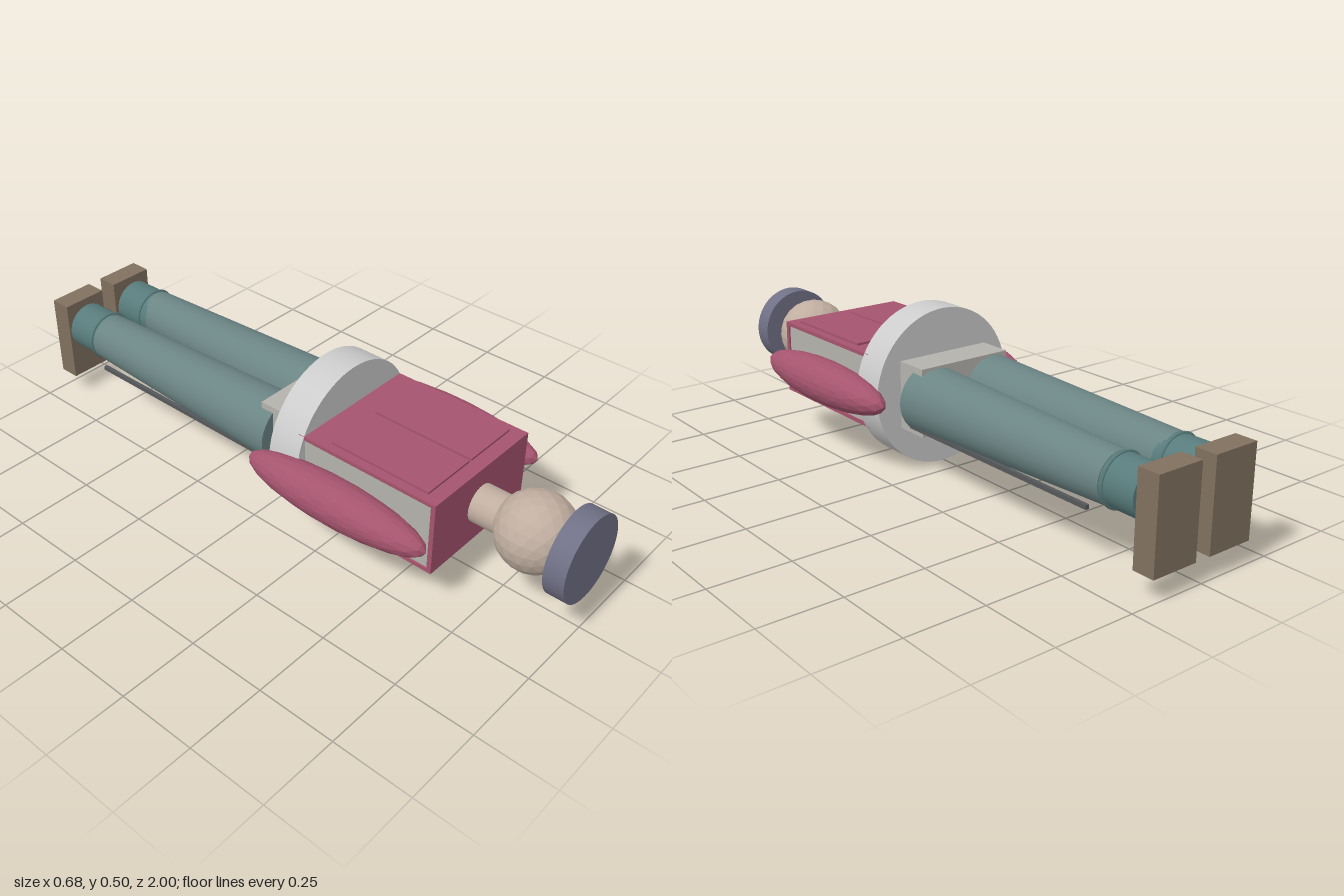
import * as THREE from 'three';

const mat = (color, flatShading = false) => new THREE.MeshStandardMaterial({ color, flatShading });

export function createModel() {
  const root = new THREE.Group();
  const CY = 0.25; // height of the lying body's axis
  const red = mat(0xa5546e), redFacet = mat(0xa5546e, true);
  const slate = mat(0x707086), skin = mat(0xc0aea0), skinFacet = mat(0xc0aea0, true);
  const trouser = mat(0x6b8484), cuffMat = mat(0x587b7b), boot = mat(0x80705f);
  const grey = mat(0xcccccc), stone = mat(0xb4b2ac), dark = mat(0x55585a);

  function add(name, geometry, material, x, y, z) {
    const mesh = new THREE.Mesh(geometry, material);
    mesh.name = name;
    mesh.position.set(x, y, z);
    root.add(mesh);
    return mesh;
  }
  // box given by its limits on each axis
  function box(name, material, [x0, x1], [y0, y1], [z0, z1]) {
    return add(name, new THREE.BoxGeometry(x1 - x0, y1 - y0, z1 - z0), material,
      (x0 + x1) / 2, (y0 + y1) / 2, (z0 + z1) / 2);
  }
  // cylinder along z, from z0 (radius r0) to z1 (radius r1)
  function rod(name, material, x, y, z0, z1, r0, r1 = r0, sides = 32) {
    const g = new THREE.CylinderGeometry(r1, r0, z1 - z0, sides).rotateX(Math.PI / 2);
    return add(name, g, material, x, y, (z0 + z1) / 2);
  }

  // head, neck and hat
  rod('hat', slate, 0, CY, 0.935, 1, 0.134, 0.134, 48);
  add('head', new THREE.IcosahedronGeometry(0.12, 3), skinFacet, 0, CY, 0.83);
  rod('neck', skin, 0, CY, 0.62, 0.74, 0.06);

  // torso core with coat plates on its top, underside and shoulder end
  box('torso', stone, [-0.215, 0.215], [0.14, 0.36], [0.12, 0.635]);
  box('shoulderPlate', red, [-0.22, 0.22], [0.13, 0.37], [0.63, 0.645]);
  box('chestPlate', red, [-0.22, 0.22], [0.358, 0.37], [0.16, 0.64]);
  box('backPlate', red, [-0.22, 0.22], [0.13, 0.142], [0.16, 0.64]);

  // waist
  rod('belt', grey, 0, CY, 0.07, 0.18, 0.25, 0.25, 64);
  box('pelvis', stone, [-0.163, 0.163], [0.145, 0.36], [-0.04, 0.08]);

  for (const s of [1, -1]) {
    const side = s > 0 ? 'left' : 'right';
    const span = (a, b) => (s > 0 ? [a, b] : [-b, -a]);

    // raised coat panels, split down the middle
    box(side + 'ChestPanel', red, span(0.004, 0.192), [0.368, 0.377], [0.26, 0.6]);
    box(side + 'BackPanel', red, span(0.004, 0.192), [0.115, 0.132], [0.26, 0.6]);
    box(side + 'BackStrip', dark, span(0.01, 0.022), [0.104, 0.117], [0.26, 0.6]);

    // arm
    const arm = new THREE.IcosahedronGeometry(1, 3).scale(0.07, 0.07, 0.325);
    add(side + 'Arm', arm, redFacet, s * 0.27, CY, 0.335);

    // leg, cuff and boot
    rod(side + 'Leg', trouser, s * 0.107, CY, -0.8, 0.005, 0.077, 0.106);
    rod(side + 'Cuff', cuffMat, s * 0.105, CY, -0.92, -0.78, 0.076);
    add(side + 'CuffBand', new THREE.TorusGeometry(0.077, 0.005, 8, 32), cuffMat, s * 0.105, CY, -0.812);
    box(side + 'Boot', boot, span(0.026, 0.18), [0.067, 0.345], [-1, -0.93]);

    // thin rail beside the leg
    box(side + 'LegRail', dark, span(0.169, 0.181), [0.169, 0.182], [-0.76, 0]);
  }
  return root;
}
